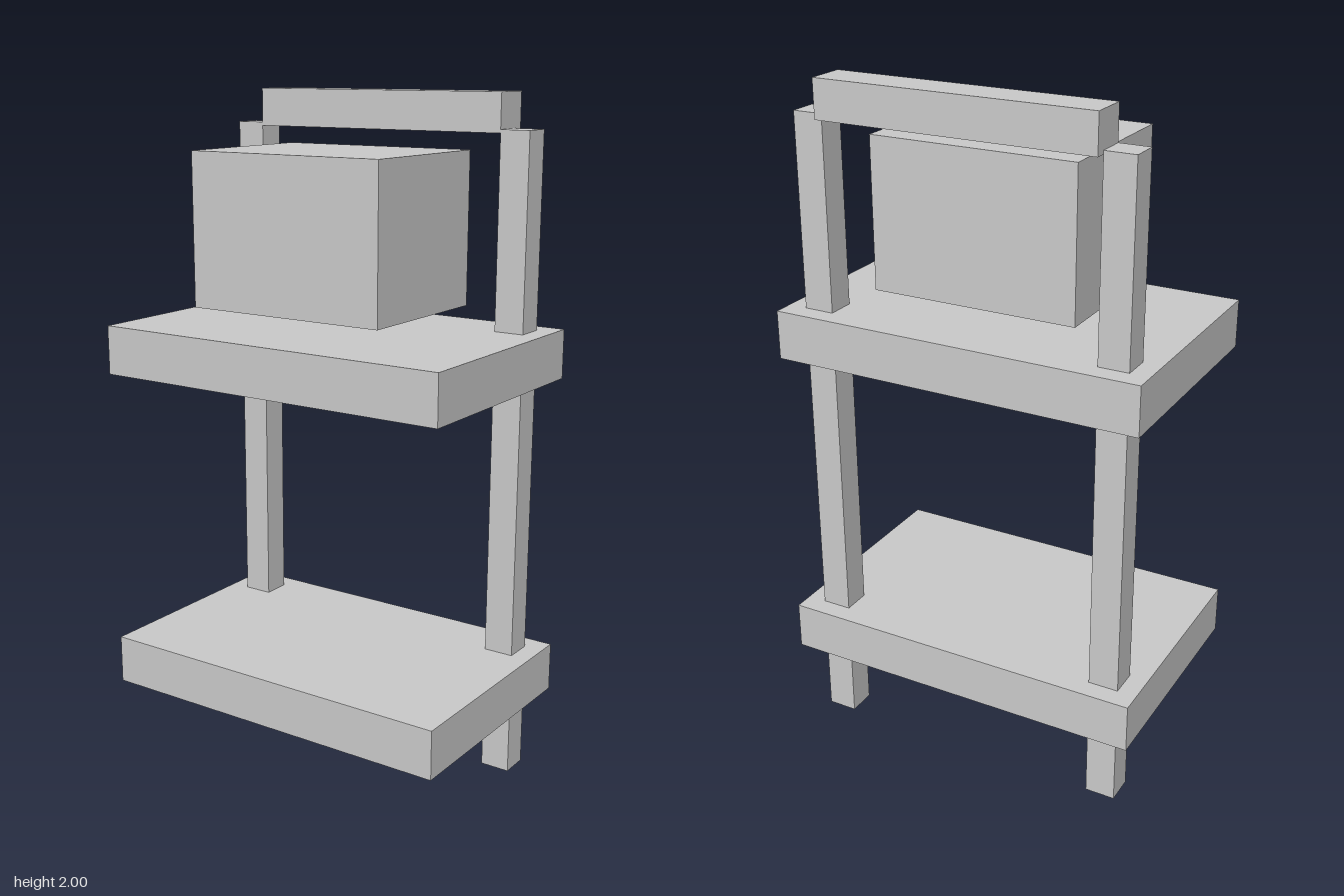
import * as THREE from 'three';

export function createModel() {
  const model = new THREE.Group();
  const material = new THREE.MeshStandardMaterial({ color: 0xcccccc, flatShading: true });

  // Box given by its [min, max] extent along each axis
  function addBox(name, [x0, x1], [y0, y1], [z0, z1]) {
    const mesh = new THREE.Mesh(new THREE.BoxGeometry(x1 - x0, y1 - y0, z1 - z0), material);
    mesh.position.set((x0 + x1) / 2, (y0 + y1) / 2, (z0 + z1) / 2);
    mesh.name = name;
    model.add(mesh);
  }

  // Two equal shelves
  addBox('lowerShelf', [-0.553, 0.553], [0.234, 0.378], [-0.349, 0.349]);
  addBox('upperShelf', [-0.553, 0.553], [1.2, 1.343], [-0.349, 0.349]);

  // Rear posts running through both shelves
  addBox('leftPost', [0.407, 0.496], [0, 1.9], [-0.29, -0.205]);
  addBox('rightPost', [-0.496, -0.407], [0, 1.9], [-0.29, -0.205]);

  // Handle rail between the post tops
  addBox('topRail', [-0.407, 0.407], [1.89, 2], [-0.321, -0.205]);

  // Block held just above the upper shelf
  addBox('block', [-0.307, 0.307], [1.406, 1.842], [-0.218, 0.248]);

  return model;
}
